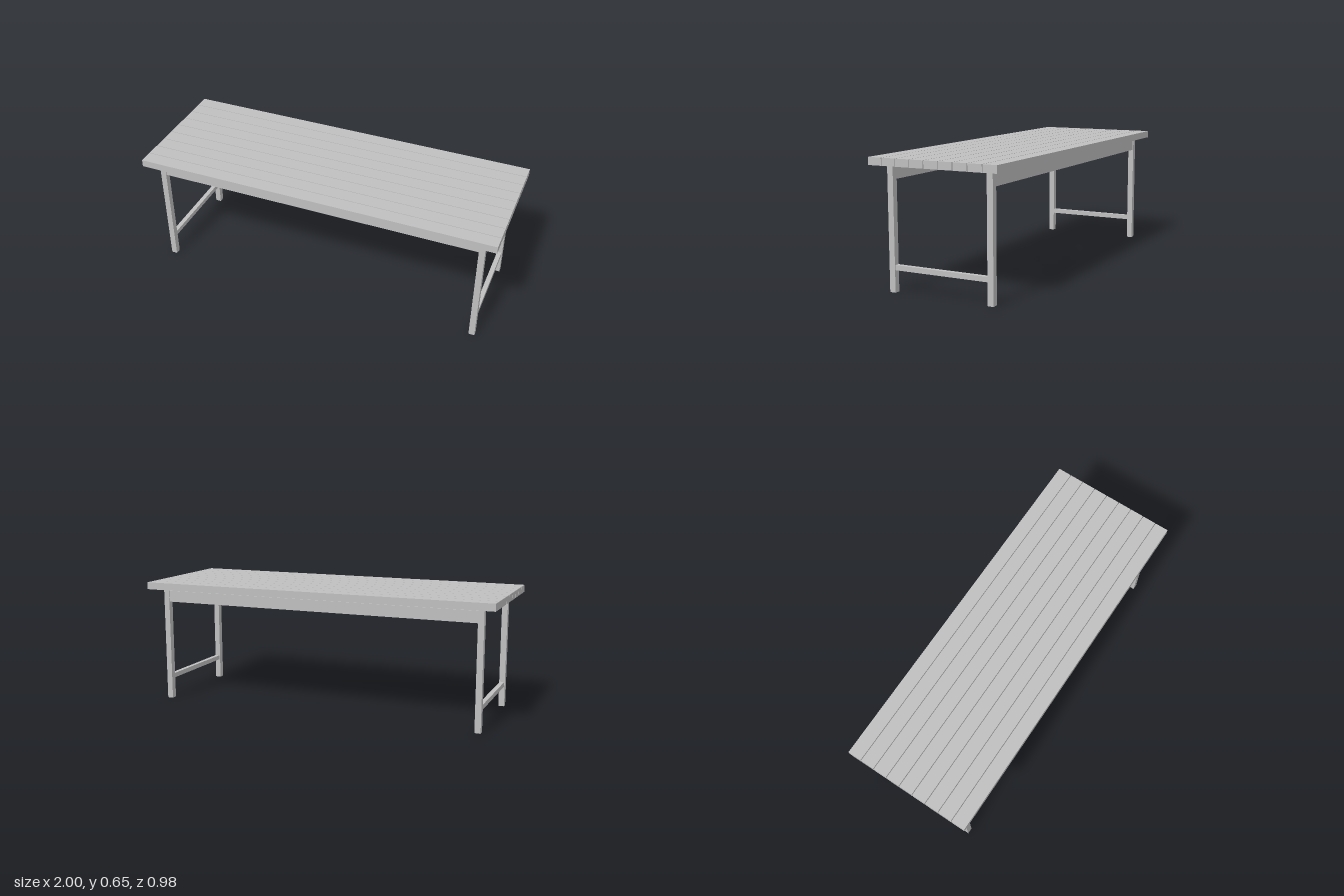
import * as THREE from 'three';

export function createModel() {
  const model = new THREE.Group();
  model.name = 'slattedTable';
  const grey = new THREE.MeshStandardMaterial({ color: 0xbfbfbf });
  grey.name = 'light grey';

  // Box from its size, with its base resting at height y
  function addBox(name, w, h, d, x, y, z) {
    const mesh = new THREE.Mesh(new THREE.BoxGeometry(w, h, d), grey);
    mesh.name = name;
    mesh.position.set(x, y + h / 2, z);
    model.add(mesh);
  }

  const length = 1.915, width = 0.686, slats = 9, gap = 0.0035;
  const legX = 0.876, legZ = 0.268, leg = 0.031;
  const topY = 0.617;

  // Table top of long parallel slats
  const slatWidth = (width - gap * (slats - 1)) / slats;
  for (let i = 0; i < slats; i++) {
    const z = (i - (slats - 1) / 2) * (slatWidth + gap);
    addBox('topSlat', length, 0.038, slatWidth, 0, topY, z);
  }

  // Four legs, with a low stretcher joining each end pair
  for (const sx of [-1, 1]) {
    for (const sz of [-1, 1]) addBox('leg', leg, topY, leg, sx * legX, 0, sz * legZ);
    addBox('endStretcher', 0.024, 0.025, 2 * legZ - leg, sx * legX, 0.11, 0);
  }

  // Long rails between the legs, just under the top
  for (const sz of [-1, 1]) {
    addBox('sideRail', 2 * legX - leg, 0.06, 0.022, 0, 0.545, sz * legZ);
  }

  // The whole table stands slightly turned
  model.rotation.y = 0.1565;
  return model;
}
